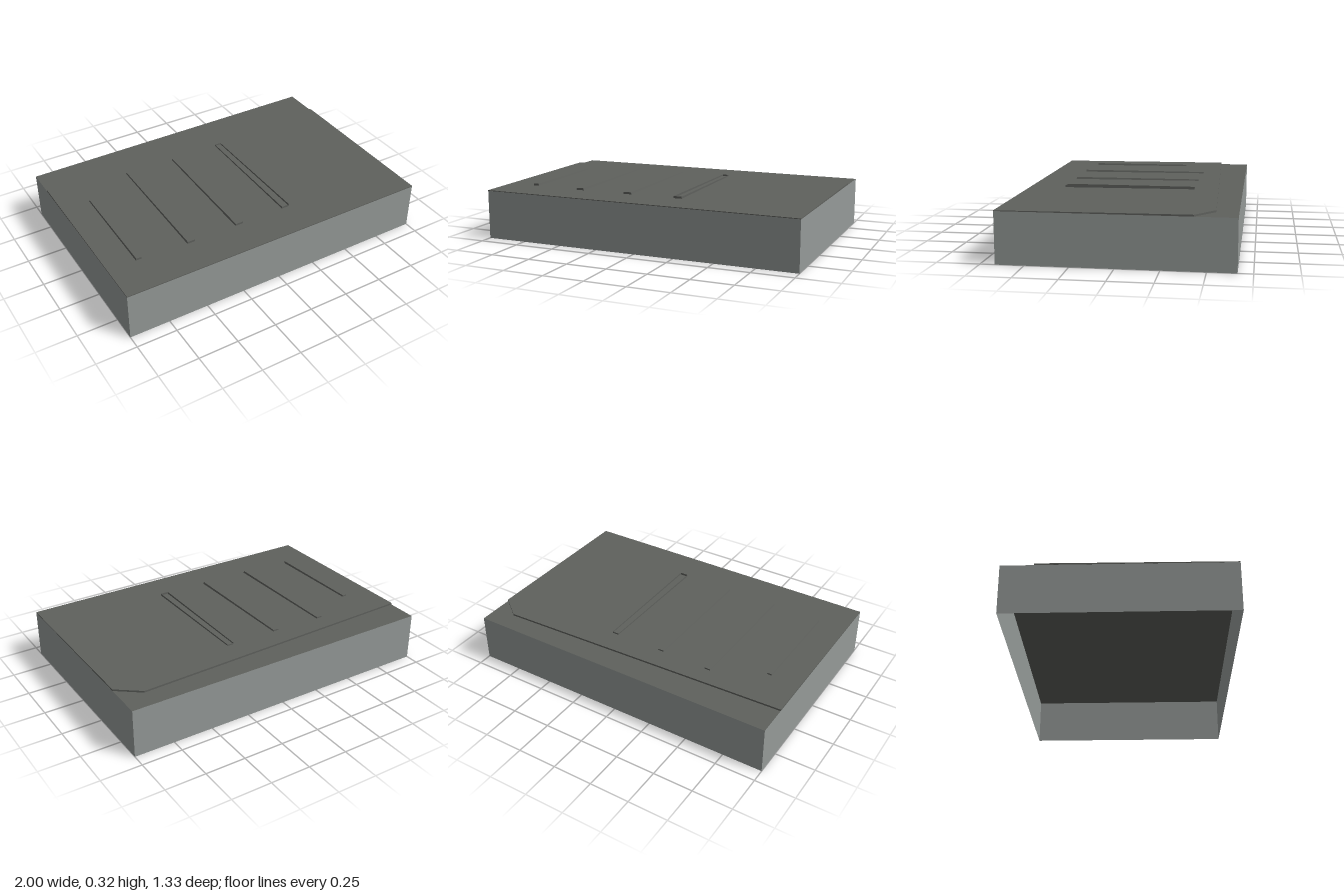
import * as THREE from 'three';

const deckGrey = new THREE.MeshStandardMaterial({ color: 0x5f615d, side: THREE.DoubleSide });
deckGrey.name = 'dark deck grey';
const wallGrey = new THREE.MeshStandardMaterial({ color: 0x959a98, side: THREE.DoubleSide });
wallGrey.name = 'light wall grey';

const BASE_H = 0.3;
const HALF_D = 0.665;

// Height of the gently tilted deck plate at depth z
const plateY = (z) => 0.3085 - 0.0035 * (z / HALF_D);

// Extrude an outline of [x, z] points upwards from y = 0
function slab(points, height) {
  const shape = new THREE.Shape(points.map(([x, z]) => new THREE.Vector2(x, -z)));
  const geo = new THREE.ExtrudeGeometry(shape, { depth: height, bevelEnabled: false });
  return geo.rotateX(-Math.PI / 2);
}

function addMesh(group, name, geometry, material) {
  const mesh = new THREE.Mesh(geometry, material);
  mesh.name = name;
  group.add(mesh);
  return mesh;
}

// Raised rib: wider at the front end, narrowing upwards; optionally without a top
function ribGeometry({ x, back, front, wBack, wFront, open }) {
  const geo = new THREE.BoxGeometry(1, 1, 1);
  if (open) {
    // Keep the four sides only
    const index = Array.from(geo.index.array);
    geo.setIndex([...index.slice(0, 12), ...index.slice(24)]);
    geo.clearGroups();
  }
  const pos = geo.attributes.position;
  for (let i = 0; i < pos.count; i++) {
    const atFront = pos.getZ(i) > 0;
    const atTop = pos.getY(i) > 0;
    const width = (atFront ? wFront : wBack) - (atTop && !open ? 0.008 : 0);
    const z = atFront ? front : back;
    pos.setXYZ(i, x + pos.getX(i) * width, atTop ? 0.319 : plateY(z) - 0.004, z);
  }
  geo.computeVertexNormals();
  return geo;
}

export function createModel() {
  const model = new THREE.Group();
  model.name = 'ribbedSlab';

  // Hollow base, open underneath
  const base = new THREE.BoxGeometry(2, BASE_H, HALF_D * 2).translate(0, BASE_H / 2, 0);
  base.groups = base.groups.filter((g) => g.materialIndex !== 3);
  addMesh(model, 'hollowBase', base, [wallGrey, wallGrey, deckGrey, deckGrey, wallGrey, wallGrey]);

  // Thin deck plate with a clipped back corner
  const outline = [[-1, HALF_D], [1, HALF_D], [1, -0.43], [0.86, -0.54], [-1, -0.475]];
  const plate = slab(outline, 1);
  const pos = plate.attributes.position;
  for (let i = 0; i < pos.count; i++) {
    pos.setY(i, pos.getY(i) > 0.5 ? plateY(pos.getZ(i)) : BASE_H + 0.0005);
  }
  plate.computeVertexNormals();
  addMesh(model, 'deckPlate', plate, deckGrey);

  // Row of four ribs
  const ribs = [
    { x: -0.805, back: -0.23, front: 0.42, wBack: 0.034, wFront: 0.04 },
    { x: -0.475, back: -0.38, front: 0.44, wBack: 0.042, wFront: 0.054 },
    { x: -0.147, back: -0.37, front: 0.44, wBack: 0.042, wFront: 0.056 },
    { x: 0.185, back: -0.37, front: 0.44, wBack: 0.042, wFront: 0.052, open: true },
  ];
  ribs.forEach((rib, i) => addMesh(model, `rib${i + 1}`, ribGeometry(rib), deckGrey));

  return model;
}
